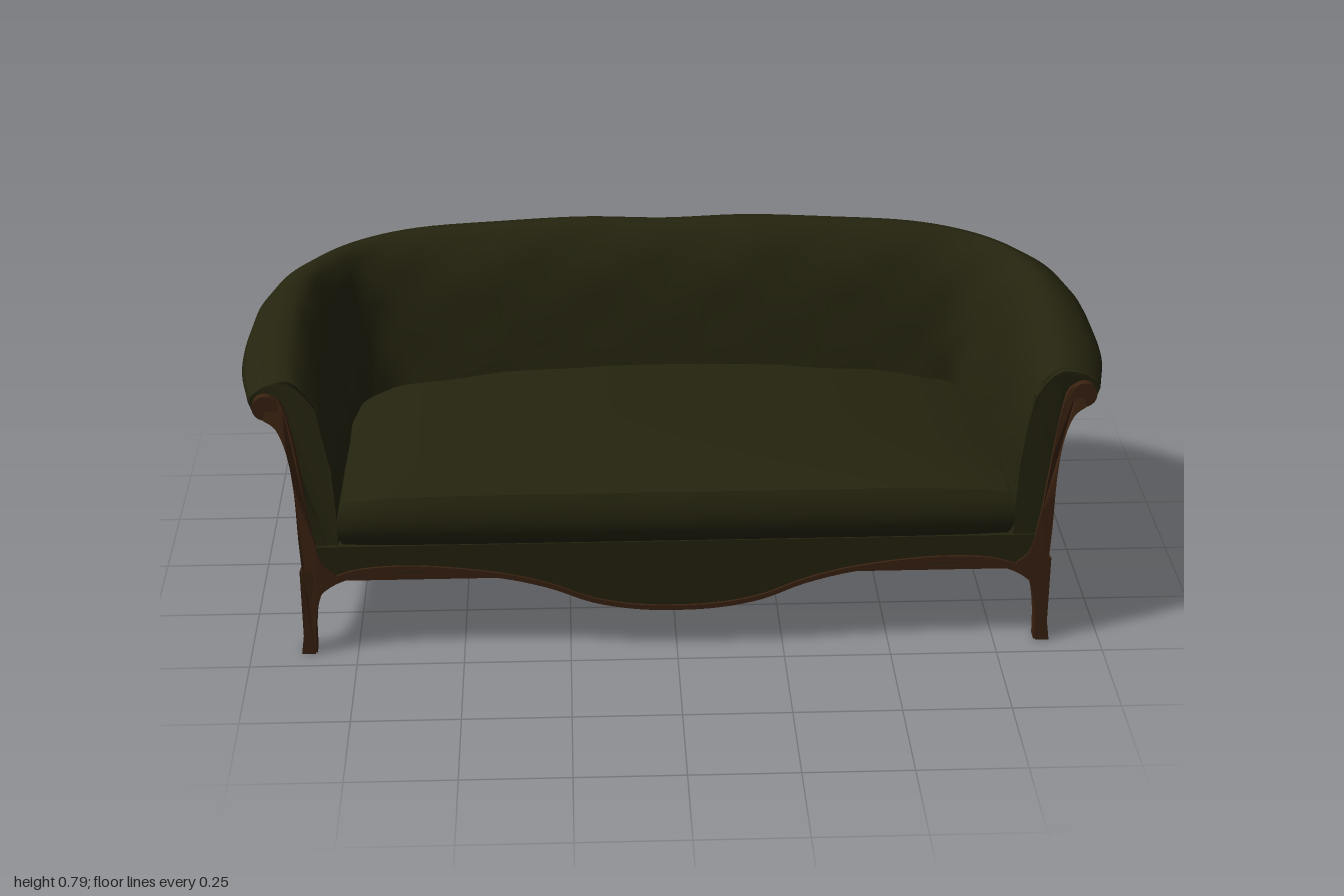
import * as THREE from 'three';

const fabric = new THREE.MeshStandardMaterial({ color: 0x25240f, side: THREE.DoubleSide });
fabric.name = 'olive fabric';
const wood = new THREE.MeshStandardMaterial({ color: 0x3a2211, side: THREE.DoubleSide });
wood.name = 'brown wood';

const V = (x, y, z) => new THREE.Vector3(x, y, z);
const V2 = (p) => new THREE.Vector2(p[0], p[1]);
// the front edges lean back toward the top
const frontZ = (y) => 0.44 - 0.4 * Math.max(0, y - 0.3) ** 2;

function add(group, name, geometry, material) {
  const mesh = new THREE.Mesh(geometry, material);
  mesh.name = name;
  group.add(mesh);
  return mesh;
}

// skin over rows of points
function surface(rows, flat = false) {
  const n = rows[0].length, index = [];
  for (let i = 0; i < rows.length - 1; i++)
    for (let j = 0; j < n - 1; j++) {
      const a = i * n + j, c = a + n;
      index.push(a, a + 1, c, a + 1, c + 1, c);
    }
  let g = new THREE.BufferGeometry().setFromPoints(rows.flat());
  g.setIndex(index);
  if (flat) g = g.toNonIndexed();
  g.computeVertexNormals();
  return g;
}

// move every vertex by a rule
function deform(g, rule) {
  const p = g.attributes.position, v = V(0, 0, 0);
  for (let i = 0; i < p.count; i++) {
    rule(v.fromBufferAttribute(p, i));
    p.setXYZ(i, v.x, v.y, v.z);
  }
  g.computeVertexNormals();
  return g;
}

const extrude = (pts, depth) =>
  new THREE.ExtrudeGeometry(new THREE.Shape(pts.map(V2)), { depth, bevelEnabled: false });

// stations round one half: inner x z, wall x z, roll edge x z, roll top, roll underside
const half = [
  [0.785, 0.44, 0.87, 0.44, 0.975, 0.385, 0.675, 0.585],
  [0.775, 0.25, 0.87, 0.25, 1.0, 0.25, 0.705, 0.588],
  [0.77, 0.08, 0.868, 0.08, 1.0, 0.08, 0.73, 0.585],
  [0.765, -0.03, 0.86, -0.06, 0.98, -0.08, 0.743, 0.57],
  [0.745, -0.1, 0.845, -0.165, 0.915, -0.215, 0.752, 0.555],
  [0.7, -0.135, 0.77, -0.22, 0.79, -0.345, 0.76, 0.545],
  [0.6, -0.14, 0.62, -0.232, 0.62, -0.428, 0.77, 0.54],
  [0.4, -0.142, 0.4, -0.235, 0.4, -0.45, 0.779, 0.54],
  [0.2, -0.145, 0.2, -0.235, 0.2, -0.455, 0.786, 0.54],
];
const mid = [0, -0.145, 0, -0.235, 0, -0.455, 0.78, 0.54];
const flip = half.map((s) => s.map((v, i) => (i < 6 && i % 2 === 0 ? -v : v))).reverse();
const stations = [...half, mid, ...flip];
const track = (x, z, y) => new THREE.CatmullRomCurve3(
  stations.map((s) => V(s[x], y === undefined ? 0 : s[y], s[z])), false, 'catmullrom');
const inner = track(0, 1, 6), wall = track(2, 3, 7), edge = track(4, 5);

// profile from inside to outside: fraction inner-to-edge, share of underside, share of roll height
const upper = [
  [0, 0.36, 0], [0, 0.6, 0], [0.05, 0.8, 0], [0.12, 0.95, 0], [0.2, 1, 0.35], [0.31, 1, 0.68],
  [0.42, 1, 0.9], [0.53, 1, 1], [0.67, 1, 0.97], [0.82, 1, 0.87], [0.95, 1, 0.67], [1, 1, 0.48],
  [0.96, 1, 0.27], [0.87, 1, 0.1], [0.74, 1, 0], [0.62, 1.005, 0],
];
// lower outside: fraction wall-to-edge, share of underside
const lower = [[0.24, 0.93], [0.1, 0.85], [0.02, 0.74], [0, 0.5], [0, 0.27]];

function shellRow(t) {
  const I = inner.getPoint(t), W = wall.getPoint(t), E = edge.getPoint(t);
  const T = I.y, B = W.y, row = [];
  const place = (from, f, y) => {
    const p = from.clone().lerp(E, f);
    row.push(V(p.x, y, Math.min(p.z, frontZ(y) - 0.005)));
  };
  upper.forEach(([f, k, s], j) => {
    // soft tufting on the inside
    const tuft = j > 1 && j < 6 ? 0.025 * Math.sin(t * 75 + j * Math.PI) : 0;
    place(I, f + tuft, k * B + s * (T - B));
  });
  lower.forEach(([f, k]) => place(W, f, k * B));
  return row;
}

function cap(pts) {
  const g = new THREE.ShapeGeometry(new THREE.Shape(pts.map((p) => V2([p.x, p.y]))));
  let i = 0;
  return deform(g, (v) => { v.z = pts[i++ % pts.length].z; });
}

export function createModel() {
  const sofa = new THREE.Group();
  sofa.name = 'sofa';

  // wraparound back and arms
  const rows = Array.from({ length: 97 }, (_, i) => shellRow(i / 96));
  add(sofa, 'backAndArms', surface(rows), fabric);
  add(sofa, 'leftArmFront', cap([...rows[0]].reverse()), fabric);
  add(sofa, 'rightArmFront', cap(rows[96]), fabric);

  // underside board following the wall
  const plan = Array.from({ length: 49 }, (_, i) => wall.getPoint(i / 48));
  const board = extrude(plan.map((p) => [p.x * 0.985, -Math.min(p.z, 0.4) * 0.98]), 0.03);
  board.rotateX(-Math.PI / 2).translate(0, 0.165, 0);
  add(sofa, 'undersideBoard', board, wood);

  // thin rail along the foot of the back
  const rail = [];
  for (let i = 0; i <= 40; i++) {
    const p = wall.getPoint(0.24 + 0.52 * i / 40);
    rail.push([[0.97, 0.165], [1.015, 0.165], [1.015, 0.145], [0.97, 0.145]]
      .map(([k, y]) => V(p.x * k, y, p.z * k)));
  }
  add(sofa, 'backRail', surface(rail, true), wood);

  // seat base and cushion
  const base = add(sofa, 'seatBase', new THREE.BoxGeometry(1.6, 0.08, 0.62), fabric);
  base.position.set(0, 0.237, 0.11);
  const cushion = deform(new THREE.BoxGeometry(2, 2, 2, 32, 8, 16), (v) => {
    const { x: u, y: h, z: w } = v;
    const top = 0.405 + 0.05 * (1 - u * u) * (1 - Math.max(0, w) ** 4) - 0.02 * u ** 8;
    v.x = u * (0.785 - 0.012 * h * h);
    v.y = THREE.MathUtils.lerp(0.277, top, (h + 1) / 2);
    v.z = w > 0 ? w * (0.455 - 0.02 * h * h - 0.01 * u ** 8) : w * 0.165;
  });
  add(sofa, 'seatCushion', cushion, fabric);

  // serpentine front apron with a wooden bead
  const arch = [[0.84, 0.15], [0.79, 0.187], [0.71, 0.209], [0.58, 0.213], [0.42, 0.195],
    [0.3, 0.165], [0.2, 0.125], [0.1, 0.105], [0, 0.1]];
  const wave = new THREE.SplineCurve(
    [...arch, ...arch.slice(0, -1).reverse().map(([x, y]) => [-x, y])].map(V2))
    .getPoints(64).map((p) => [p.x, p.y]);
  add(sofa, 'frontApron', extrude([[-0.84, 0.28], ...[...wave].reverse(), [0.84, 0.28]], 0.045)
    .translate(0, 0, 0.395), fabric);
  const bead = wave.map(([x, y]) => [x, y + 0.012 + 0.02 * x ** 4]).reverse();
  add(sofa, 'frontBead', extrude([...wave, ...bead], 0.056).translate(0, 0, 0.39), wood);

  for (const s of [1, -1]) {
    const side = s > 0 ? 'left' : 'right';

    // front leg running up into the arm trim
    const outer = new THREE.SplineCurve([[0.882, 0], [0.868, 0.13], [0.874, 0.3], [0.878, 0.42],
      [0.89, 0.51], [0.912, 0.57], [0.94, 0.592]].map(V2)).getPoints(24);
    const inside = new THREE.SplineCurve([[0.93, 0.648], [0.9, 0.63], [0.88, 0.56], [0.862, 0.45],
      [0.845, 0.33], [0.825, 0.24], [0.79, 0.2], [0.825, 0.165], [0.842, 0.1], [0.85, 0]]
      .map(V2)).getPoints(30);
    const trim = extrude([...outer, ...inside].map((p) => [s * p.x, p.y]), 0.045);
    add(sofa, side + 'FrontLegAndTrim', deform(trim, (v) => { v.z += 0.4 + frontZ(v.y) - 0.44; }), wood);

    // scroll at the end of the arm roll
    const scroll = new THREE.CylinderGeometry(0.03, 0.03, 0.035, 20).rotateX(Math.PI / 2);
    add(sofa, side + 'Scroll', scroll.translate(s * 0.935, 0.62, 0.388), wood);

    // arched side rail
    const railPts = [[0.44, 0], [0.445, 0.22], [0.405, 0.21], [0.37, 0.198], [0.2, 0.193],
      [0.1, 0.194], [0, 0.195], [-0.08, 0.197], [-0.18, 0.2], [-0.185, 0.13], [-0.105, 0.12],
      [-0.06, 0.133], [0, 0.146], [0.06, 0.153], [0.12, 0.156], [0.18, 0.154], [0.25, 0.148],
      [0.33, 0.133], [0.38, 0.113], [0.398, 0.09], [0.41, 0]];
    const g = extrude(railPts, 0.03).rotateY(-Math.PI / 2).translate(s > 0 ? 0.876 : -0.846, 0, 0);
    add(sofa, side + 'SideRail',
      deform(g, (v) => { v.x -= s * 0.4 * Math.max(0, 0.1 - v.z) ** 2; }), wood);

    // tapered back leg: y, inner x, outer x, back z, front z
    const ring = ([y, x0, x1, z0, z1]) => {
      const r = [[x1, z1], [x1, z0], [x0, z0], [x0, z1], [x1, z1]].map(([x, z]) => V(s * x, y, z));
      return s > 0 ? r : r.reverse();
    };
    const leg = [[0, 0.81, 0.81, -0.17, -0.17], [0, 0.785, 0.835, -0.19, -0.15],
      [0.125, 0.755, 0.848, -0.188, -0.105], [0.2, 0.755, 0.848, -0.183, -0.09]].map(ring);
    add(sofa, side + 'BackLeg', surface(leg, true), wood);
  }
  return sofa;
}
